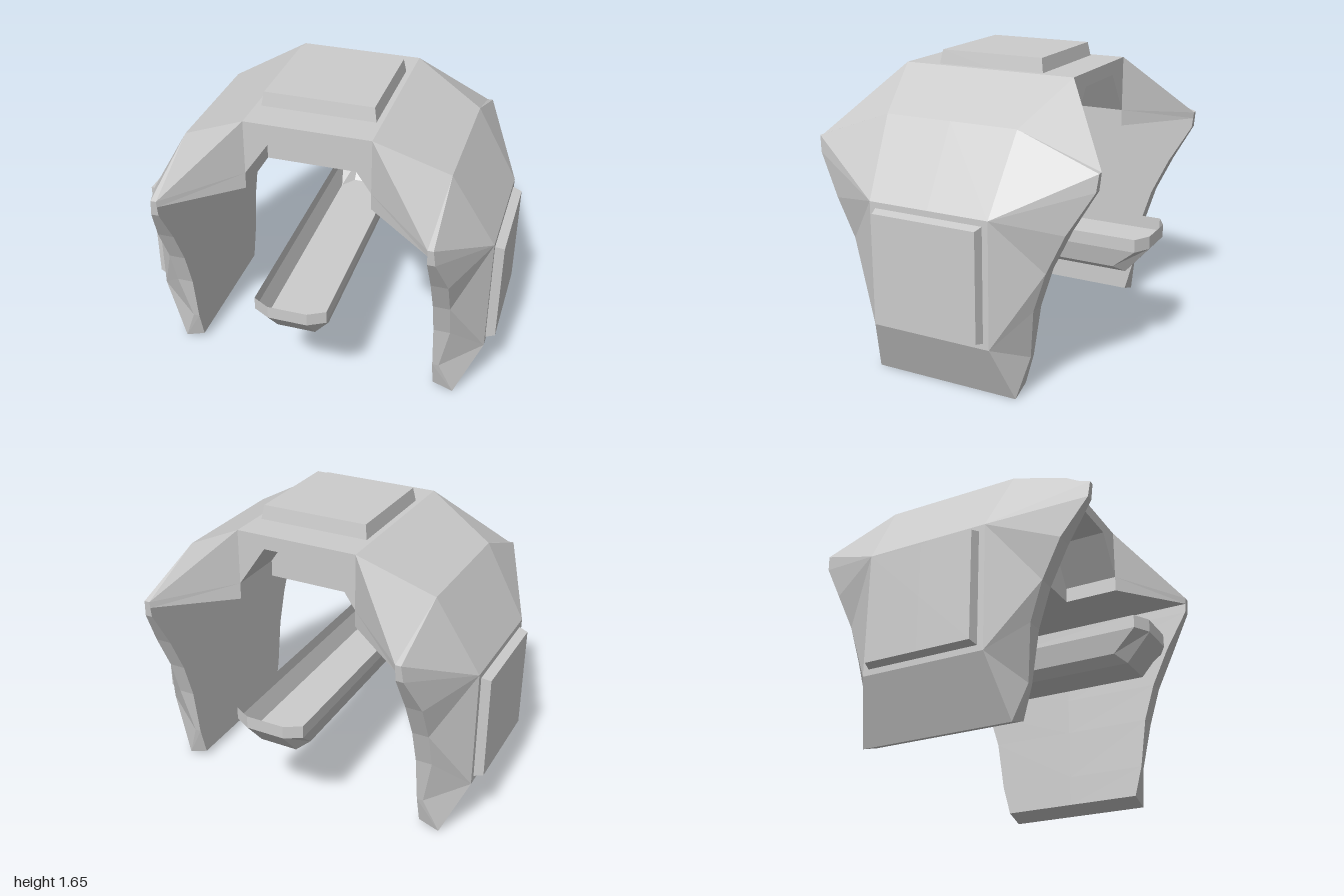
import * as THREE from 'three';

const material = new THREE.MeshStandardMaterial({
  color: 0xcccccc, flatShading: true, side: THREE.DoubleSide,
});

// Mirrors polygons drawn for the +x +z quarter into all four quarters.
function quarteredGeometry(polygons) {
  const out = [];
  for (const sx of [1, -1]) for (const sz of [1, -1]) {
    for (const poly of polygons) {
      const p = poly.map(([x, y, z]) => [x * sx, y, z * sz]);
      if (sx * sz < 0) p.reverse();
      // keep the fan pivot on the polygon's first corner
      if (sx * sz < 0) p.unshift(p.pop());
      for (let i = 1; i < p.length - 1; i++) out.push(...p[0], ...p[i], ...p[i + 1]);
    }
  }
  const g = new THREE.BufferGeometry();
  g.setAttribute('position', new THREE.Float32BufferAttribute(out, 3));
  g.computeVertexNormals();
  return g;
}

function addMesh(parent, name, geometry) {
  const mesh = new THREE.Mesh(geometry, material);
  mesh.name = name;
  parent.add(mesh);
  return mesh;
}

const at = ([x, y], z) => [x, y, z];
const mid = ([x, y]) => [x, y, 0];

// Faceted arch: roof, flared corners and two legs
function archGeometry() {
  const polys = [];
  const roof = [0.335, 1.575, 0.49], shoulder = [0.715, 1.38, 0.37];
  const sideTop = [0.95, 0.985, 0.335], sideLow = [0.95, 0.315, 0.335];
  // Concave leg edge from the flared tip to the foot: outer x, y, z
  const outer = [
    [0.725, 1.22, 0.8], [0.735, 1.13, 0.79], [0.785, 0.91, 0.66], [0.785, 0.7, 0.56],
    [0.785, 0.49, 0.495], [0.73, 0.21, 0.455], [0.81, 0, 0.41],
  ];
  const inner = outer.map(([, y, z]) => [0.695, Math.max(y, 0.04), z]);
  const tip = inner[0], foot = outer[6];
  const ceiling = [0.695, 1.185, 0.796];
  const soffit = [0.335, 1.185, 0.49], jamb = [0.335, 1.275, 0.49], lintel = [0.18, 1.5, 0.49];

  // Bands running front to back: outside down the leg, then up the inside
  const loop = [[0, 1.575, 0.49], roof, shoulder, sideTop, sideLow, foot,
    ...inner.slice(1).reverse(), ceiling, soffit];
  for (let i = 0; i < loop.length - 1; i++) {
    const a = loop[i], b = loop[i + 1];
    polys.push([mid(a), a, b, mid(b)]);
  }

  // Flared corner
  polys.push([roof, tip, shoulder], [tip, outer[0], shoulder], [shoulder, outer[0], sideTop],
    [roof, jamb, tip], [jamb, soffit, ceiling, tip]);

  // Leg front: narrow curved edge and the wide panel behind it
  for (let i = 0; i < 6; i++) {
    polys.push([inner[i], inner[i + 1], outer[i + 1], outer[i]]);
    polys.push([i < 3 ? sideTop : sideLow, outer[i], outer[i + 1]]);
  }
  polys.push([sideTop, outer[3], sideLow]);

  // Recess under the roof, ending at a central wall
  const depth = 0.17;
  const recess = [soffit, jamb, lintel, [0, 1.5, 0.49]];
  for (let i = 0; i < 3; i++) {
    const a = recess[i], b = recess[i + 1];
    polys.push([at(a, depth), a, b, at(b, depth)]);
  }
  polys.push([[0, 1.185, depth], ...recess.map((p) => at(p, depth))]);
  polys.push([mid(soffit), at(soffit, depth), [0, 1.185, depth], [0, 1.185, 0]]);
  polys.push([lintel, jamb, roof, [0, 1.575, 0.49], [0, 1.5, 0.49]]);
  return quarteredGeometry(polys);
}

// Open tray with chamfered corners and sloping ends
function trayGeometry() {
  const ring = (y1, z1, x2, y2, z2) =>
    [[0, y1, z1], [0.105, y1, z1], [x2, y2, z2], [x2, y2, 0]];
  const rings = [
    ring(0.72, 0.84, 0.195, 0.72, 0.79),
    ring(0.65, 0.84, 0.195, 0.65, 0.79),
    ring(0.5, 0.71, 0.165, 0.54, 0.66),
  ];
  const polys = [];
  for (let i = 0; i < 2; i++) for (let j = 0; j < 3; j++) {
    const a = rings[i], b = rings[i + 1];
    polys.push([a[j], b[j], b[j + 1], a[j + 1]]);
  }
  // Underside and raised inner floor
  polys.push([[0, 0.5, 0], [0.105, 0.5, 0], [0.105, 0.5, 0.71], [0, 0.5, 0.71]]);
  polys.push([[0.105, 0.5, 0], [0.165, 0.54, 0], [0.165, 0.54, 0.66], [0.105, 0.5, 0.71]]);
  polys.push([[0, 0.54, 0], [0, 0.54, 0.743], [0.105, 0.54, 0.743],
    [0.165, 0.54, 0.66], [0.165, 0.54, 0]]);
  return quarteredGeometry(polys);
}

// Raised square plate with bevelled sides, standing on y = 0
function plateGeometry(half, height) {
  const top = half - 0.013;
  return quarteredGeometry([
    [[0, height, 0], [0, height, top], [top, height, top], [top, height, 0]],
    [[0, height, top], [0, 0, half], [half, 0, half], [top, height, top]],
    [[top, height, top], [half, 0, half], [half, 0, 0], [top, height, 0]],
  ]);
}

export function createModel() {
  const model = new THREE.Group();
  model.name = 'archway';
  addMesh(model, 'archBody', archGeometry());
  addMesh(model, 'centralTray', trayGeometry());

  addMesh(model, 'roofPlate', plateGeometry(0.305, 0.075)).position.y = 1.575;
  for (const side of [1, -1]) {
    const plate = addMesh(model, side > 0 ? 'leftSidePlate' : 'rightSidePlate',
      plateGeometry(0.303, 0.05));
    plate.rotation.z = -side * Math.PI / 2;
    plate.position.set(side * 0.95, 0.65, 0);
  }
  return model;
}
